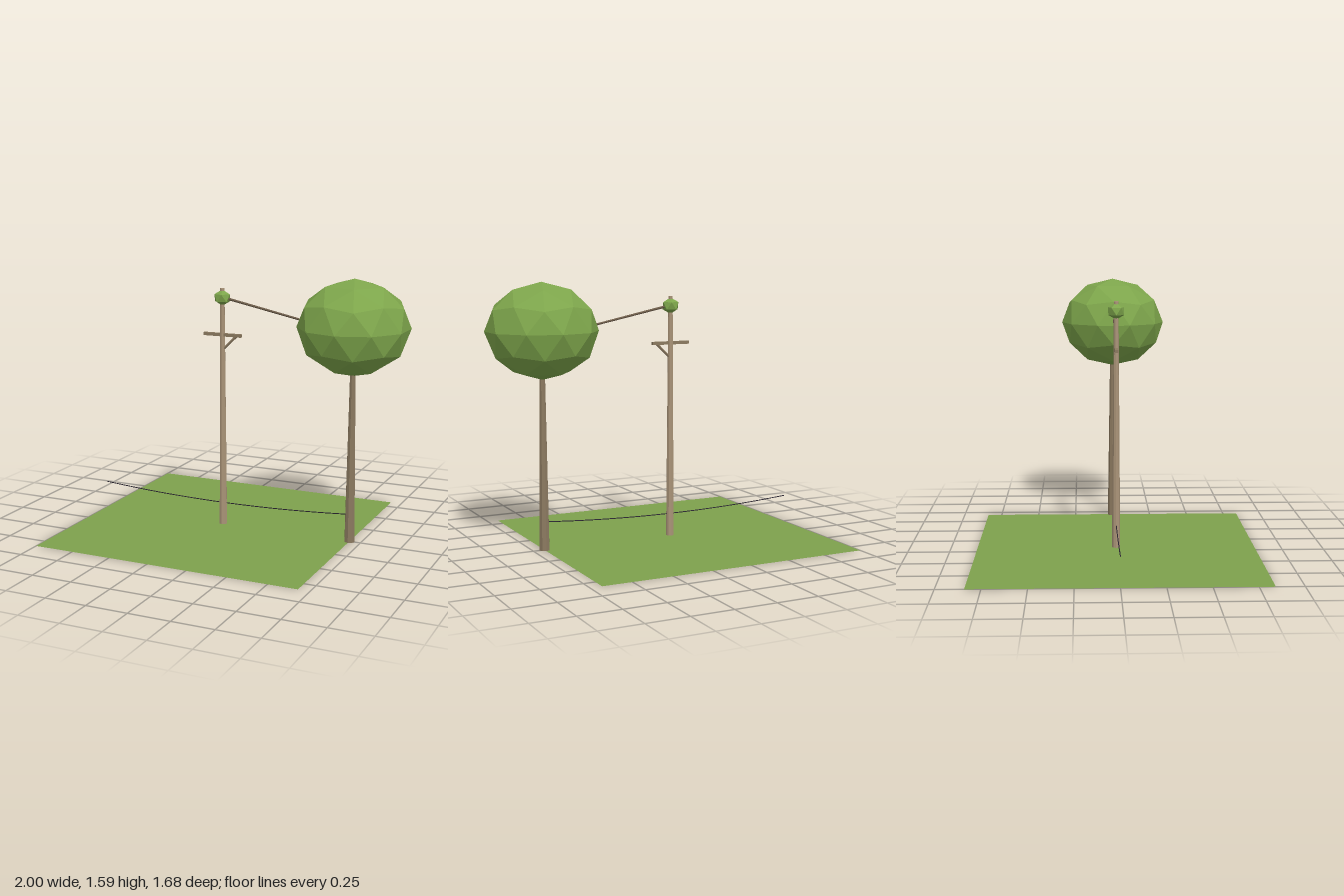
import * as THREE from 'three';

function mat(name, color, extra = {}) {
  const m = new THREE.MeshStandardMaterial({ color, flatShading: true, ...extra });
  m.name = name;
  return m;
}

export function createModel() {
  const group = new THREE.Group();
  const leaf = mat('leaf green', 0x7da54b);
  const grass = mat('grass green', 0x7da14c, { side: THREE.DoubleSide });
  const paleWood = mat('pale wood', 0xaa9478);
  const bark = mat('bark brown', 0x8c7a60);
  const darkWood = mat('dark wood', 0x6e5d4a);
  const wireBlack = mat('wire black', 0x2a2530);

  const POLE_X = -0.16, TREE_X = 0.68;
  const v = (x, y, z = 0) => new THREE.Vector3(x, y, z);

  function add(name, geometry, material) {
    const mesh = new THREE.Mesh(geometry, material);
    mesh.name = name;
    group.add(mesh);
    return mesh;
  }

  // Tapered rod between two points
  function rod(name, a, b, r0, r1, sides, material) {
    const dir = b.clone().sub(a);
    const mesh = add(name, new THREE.CylinderGeometry(r1, r0, dir.length(), sides), material);
    mesh.position.copy(a).add(b).multiplyScalar(0.5);
    mesh.quaternion.setFromUnitVectors(v(0, 1), dir.normalize());
    return mesh;
  }

  // Faceted foliage ball standing on one of its corners
  function foliage(name, x, y, rx, ry, detail) {
    const g = new THREE.IcosahedronGeometry(1, detail);
    g.rotateZ(-Math.atan(2 / (1 + Math.sqrt(5))));
    g.scale(rx, ry, rx);
    add(name, g, leaf).position.set(x, y, 0);
  }

  // Square lawn
  const lawn = new THREE.PlaneGeometry(1.68, 1.68);
  lawn.rotateX(-Math.PI / 2);
  add('lawn', lawn, grass).position.x = POLE_X;

  // Pole with crossbar and diagonal brace
  rod('pole', v(POLE_X, 0), v(POLE_X, 1.49), 0.025, 0.014, 8, paleWood);
  add('crossbar', new THREE.BoxGeometry(0.25, 0.019, 0.019), bark).position.set(POLE_X, 1.205, 0);
  rod('brace', v(-0.152, 1.12), v(-0.068, 1.2), 0.008, 0.008, 6, bark);
  foliage('poleFoliage', POLE_X, 1.432, 0.055, 0.05, 0);

  // Tree
  rod('trunk', v(TREE_X, 0), v(TREE_X, 1.25), 0.032, 0.014, 8, bark);
  foliage('crown', TREE_X, 1.304, 0.333, 0.285, 1);

  // Branch from pole top into the crown
  rod('branch', v(POLE_X, 1.435), v(0.6, 1.277), 0.008, 0.006, 6, darkWood);

  // Sagging wire
  const points = [];
  for (let i = 0; i <= 8; i++) {
    const t = i / 4 - 1;
    points.push(v(POLE_X + 0.84 * t, 0.137 + 0.034 * t * t));
  }
  add('wire', new THREE.TubeGeometry(new THREE.CatmullRomCurve3(points), 16, 0.003, 5), wireBlack);

  return group;
}
